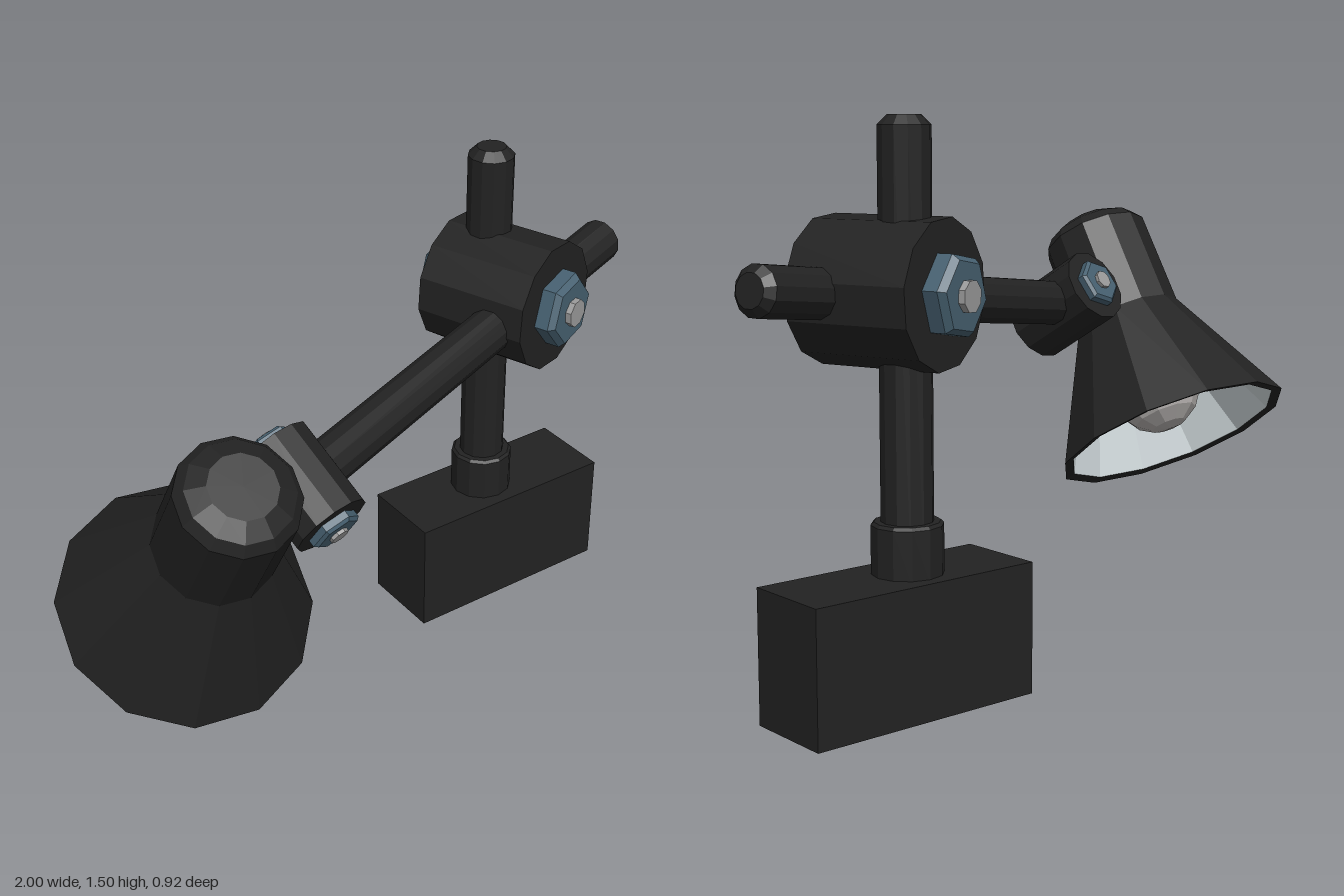
import * as THREE from 'three';

const paint = (color) => new THREE.MeshStandardMaterial({ color, flatShading: true });
const black = paint(0x222222);
const steel = paint(0x466070);
const boltGrey = paint(0x9a9a9a);
const white = paint(0xd4dde0);
const glass = paint(0xb4b0ae);
const UP = new THREE.Vector3(0, 1, 0);
const vec = (x, y, z) => new THREE.Vector3(x, y, z);

function add(parent, name, geometry, material, x = 0, y = 0, z = 0) {
  const mesh = new THREE.Mesh(geometry, material);
  mesh.name = name;
  mesh.position.set(x, y, z);
  parent.add(mesh);
  return mesh;
}

// A turned solid or surface from [radius, height] pairs, bottom to top.
const turned = (pairs, sides) =>
  new THREE.LatheGeometry(pairs.map(([r, h]) => new THREE.Vector2(r, h)), sides);

// A group whose own y axis points along a direction.
function axisGroup(parent, name, position, direction) {
  const group = new THREE.Group();
  group.name = name;
  group.position.copy(position);
  group.quaternion.setFromUnitVectors(UP, direction.clone().normalize());
  parent.add(group);
  return group;
}

// A round rod along y with chamfered ends.
const rod = (r, length, c) =>
  turned([[0, 0], [r - c, 0], [r, c], [r, length - c], [r - c, length], [0, length]], 12);

// A clamp body with a hex nut and bolt end on both faces.
function clamp(parent, name, position, direction, r, half, nutR, nutH, boltR, tip) {
  const group = axisGroup(parent, name, position, direction);
  add(group, name + 'Body', new THREE.CylinderGeometry(r, r, half * 2, 12), black);
  for (const side of [0, 1]) {
    const end = new THREE.Group();
    end.name = name + 'Fastener';
    end.rotation.x = side * Math.PI;
    group.add(end);
    add(end, 'nut', turned([[nutR, 0], [nutR, nutH * 0.7], [nutR * 0.86, nutH], [0, nutH]], 6), steel, 0, half);
    add(end, 'bolt', new THREE.CylinderGeometry(boltR, boltR, tip, 8), boltGrey, 0, half + nutH + tip / 2);
  }
  return group;
}

export function createModel() {
  const model = new THREE.Group();
  model.name = 'clampLamp';

  // Base block, collar and upright post
  add(model, 'base', new THREE.BoxGeometry(0.68, 0.355, 0.255), black, 0.57, 0.1775, -0.2525);
  add(model, 'collar', rod(0.094, 0.16, 0.008), black, 0.54, 0.33, -0.2525);
  add(model, 'post', rod(0.068, 1.175, 0.025), black, 0.54, 0.33, -0.2525);

  // Clamp joining post and arm
  const turn = THREE.MathUtils.degToRad(20);
  clamp(model, 'postClamp', vec(0.555, 1.067, -0.193), vec(Math.sin(turn), 0, Math.cos(turn)),
    0.193, 0.174, 0.112, 0.06, 0.042, 0.018);

  // Sloping arm
  const armStart = vec(-0.36, 0.947, 0.157);
  const armSpan = vec(0.985, 1.1, -0.24).sub(armStart);
  const arm = axisGroup(model, 'armGroup', armStart, armSpan);
  add(arm, 'arm', rod(0.066, armSpan.length(), 0.022), black);

  // Swivel joint beside the lamp head
  clamp(model, 'headJoint', vec(-0.386, 0.938, 0.168), vec(0.14, -0.52, 0.84),
    0.109, 0.13, 0.072, 0.028, 0.027, 0.01);

  // Lamp head, its axis running from the shade opening up to the cap
  const head = axisGroup(model, 'lampHead', vec(-0.643, 0.54, -0.038), vec(-0.04, 0.837, 0.547));
  const shade = add(head, 'shade', turned([[0.328, 0.006], [0.358, 0], [0.166, 0.396], [0.163, 0.69],
    [0.14, 0.72], [0.09, 0.747], [0, 0.747]], 12), black);
  const lining = add(head, 'shadeLining', turned([[0, 0.4], [0.14, 0.39], [0.328, 0.006]], 12), white);
  shade.rotation.y = lining.rotation.y = THREE.MathUtils.degToRad(6);

  // Bulb and its neck
  add(head, 'bulb', new THREE.SphereGeometry(0.14, 10, 8), glass, 0, 0.16);
  add(head, 'bulbNeck', new THREE.CylinderGeometry(0.07, 0.09, 0.16, 10), glass, 0, 0.32);

  return model;
}
